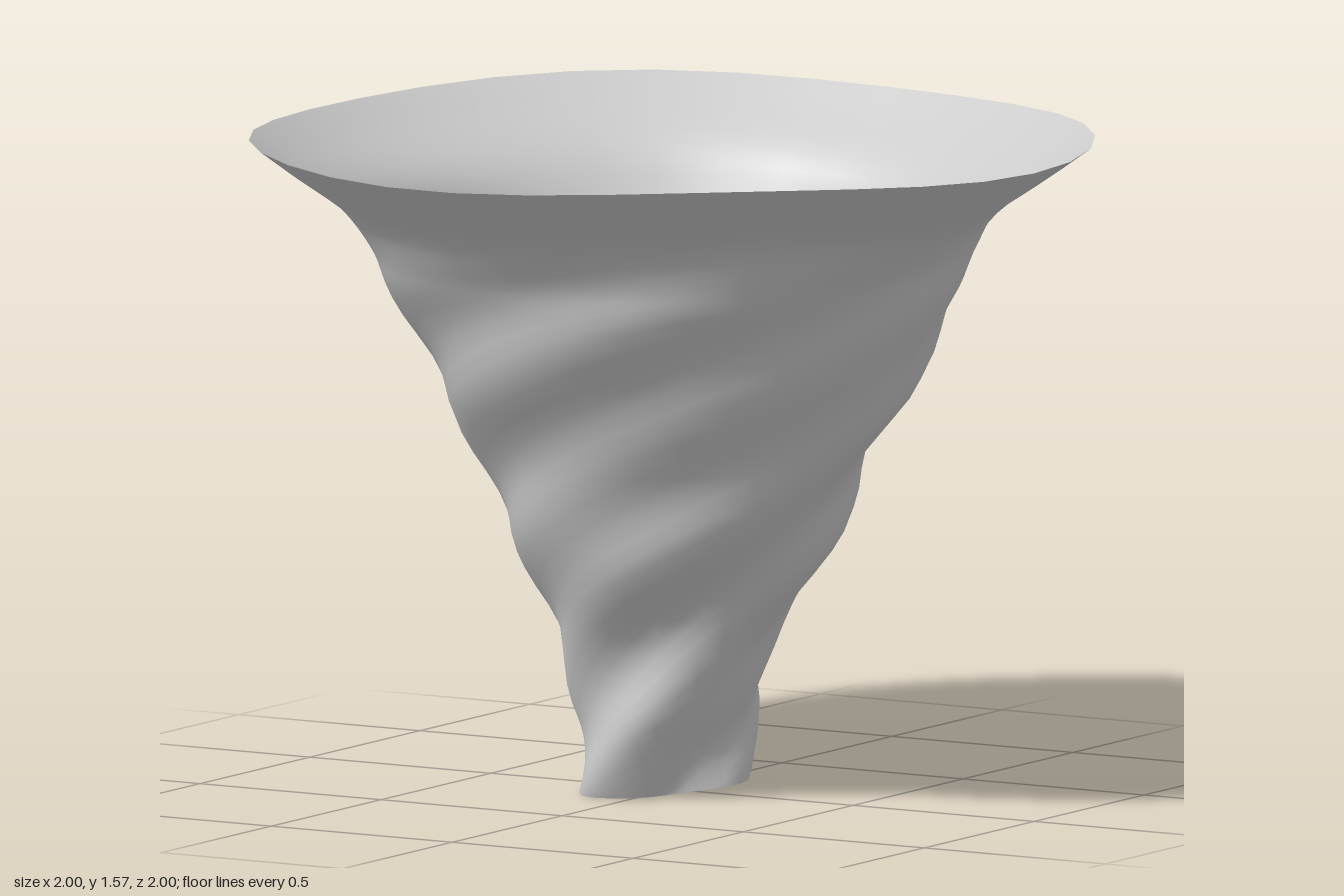
import * as THREE from 'three';
import { mergeVertices } from 'three/addons/utils/BufferGeometryUtils.js';

const TAU = Math.PI * 2;
const rad = THREE.MathUtils.degToRad;
const SIDES = 32, ROWS = 48;
const TWIST = 4; // radians of swirl per unit of height

// mean radius against height
const profile = new THREE.SplineCurve([
  [0.161, 0], [0.177, 0.1], [0.205, 0.2], [0.267, 0.4], [0.38, 0.6], [0.46, 0.8], [0.572, 1.0],
  [0.673, 1.2], [0.718, 1.3], [0.788, 1.4], [0.925, 1.5], [1.0, 1.555],
].map(([r, y]) => new THREE.Vector2(r, y)));

// uneven outline of the foot: offset from the mean radius every 30 degrees
const footOffsets = [0.025, -0.005, -0.015, 0.03, 0.075, 0.045, 0.03, 0.03, -0.01, -0.078, -0.068, 0.015];

function footOffset(angle) {
  const n = footOffsets.length;
  const a = (((angle / TAU) * n) % n + n) % n;
  const i = Math.floor(a), t = a - i;
  const p = (k) => footOffsets[(i + k + n) % n];
  return p(0) + 0.5 * t * (p(1) - p(-1) + t * (2 * p(-1) - 5 * p(0) + 4 * p(1) - p(2)
    + t * (3 * (p(0) - p(1)) + p(2) - p(-1))));
}

// spiral ridges: foot outline below, shallow uneven ridges above, fading into a round rim
function ridge(angle, y) {
  const phase = angle + TWIST * y;
  const shallow = 0.008 * Math.cos(3 * (phase - rad(-22))) + 0.012 * Math.cos(5 * (phase - rad(52)))
    - 0.012 * Math.cos(phase - rad(5));
  const blend = THREE.MathUtils.smoothstep(y, 0, 0.42);
  const fade = 1 - THREE.MathUtils.smoothstep(y, 1.15, 1.55);
  return THREE.MathUtils.lerp(footOffset(phase), shallow, blend) * fade;
}

// slight tilt of the foot and waves along the rim
function edgeWave(angle, y) {
  const foot = 0.018 - 0.018 * Math.cos(angle - rad(120));
  const rim = 0.008 * Math.cos(2 * (angle - rad(50))) + 0.008 * Math.cos(4 * (angle - rad(230)));
  return foot * (1 - THREE.MathUtils.smoothstep(y, 0, 0.3)) + rim * THREE.MathUtils.smoothstep(y, 1.2, 1.55);
}

export function createModel() {
  const group = new THREE.Group();
  group.name = 'twistedFunnel';

  // open tube reshaped into the swirling funnel
  let geometry = new THREE.CylinderGeometry(1, 1, 1, SIDES, ROWS, true);
  const pos = geometry.attributes.position;
  for (let i = 0; i < pos.count; i++) {
    const angle = Math.atan2(pos.getZ(i), pos.getX(i));
    const p = profile.getPoint(THREE.MathUtils.clamp(pos.getY(i) + 0.5, 0, 1));
    const r = p.x + ridge(angle, p.y);
    pos.setXYZ(i, r * Math.cos(angle), p.y + edgeWave(angle, p.y), r * Math.sin(angle));
  }

  // close the seam so the shading runs smoothly all round
  geometry.deleteAttribute('uv');
  geometry.deleteAttribute('normal');
  geometry = mergeVertices(geometry, 1e-4);
  geometry.computeVertexNormals();

  const material = new THREE.MeshStandardMaterial({ color: 0xcccccc, side: THREE.DoubleSide });
  const funnel = new THREE.Mesh(geometry, material);
  funnel.name = 'funnelWall';
  group.add(funnel);
  return group;
}
